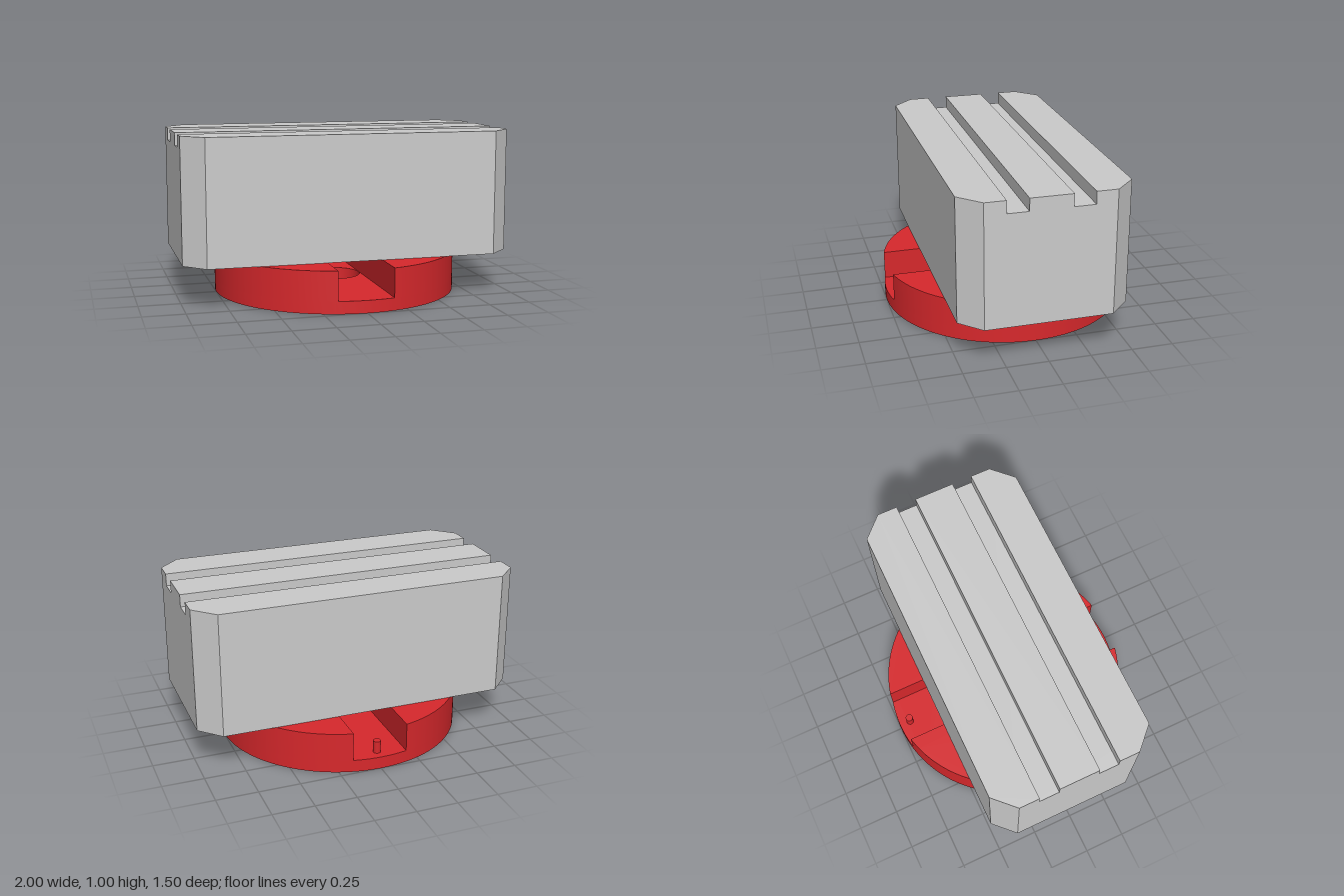
import * as THREE from 'three';
import { toCreasedNormals } from 'three/addons/utils/BufferGeometryUtils.js';

export function createModel() {
  const model = new THREE.Group();
  const grey = new THREE.MeshStandardMaterial({ color: 0xcccccc });
  const greyInside = new THREE.MeshStandardMaterial({ color: 0xcccccc, side: THREE.DoubleSide });
  const red = new THREE.MeshStandardMaterial({ color: 0xd8282c });

  const add = (name, geometry, material) => {
    const mesh = new THREE.Mesh(geometry, material);
    mesh.name = name;
    model.add(mesh);
    return mesh;
  };

  // Extrude a plan outline upwards from y0 to y1
  const slab = (shape, y0, y1) => {
    const g = new THREE.ExtrudeGeometry(shape, { depth: y1 - y0, bevelEnabled: false, curveSegments: 64 });
    g.rotateX(-Math.PI / 2).translate(0, y0, 0);
    return toCreasedNormals(g, 0.5);
  };
  const outline = (pts) => new THREE.Shape(pts.map(([x, z]) => new THREE.Vector2(x, z)));
  const hole = (x, z, r) => new THREE.Path().absarc(x, z, r, 0, Math.PI * 2, true);

  // Block with chamfered corners
  const top = 1, grooveFloor = 0.925, deck = 0.25;
  const xc = 0.875, zc = 0.375, zo = 0.5, zi = 0.25;
  add('block', slab(outline([
    [-xc, -zo], [xc, -zo], [1, -zc], [1, zc], [xc, zo], [-xc, zo], [-1, zc], [-1, -zc],
  ]), deck, grooveFloor), grey);

  // Three ridges leave two long grooves on top
  add('middleRidge', slab(outline([[-1, -0.125], [1, -0.125], [1, 0.125], [-1, 0.125]]), grooveFloor, top), grey);
  const sideRidge = [[-1, zi], [1, zi], [1, zc], [xc, zo], [-xc, zo], [-1, zc]];
  add('backRidge', slab(outline(sideRidge), grooveFloor, top), grey);
  add('frontRidge', slab(outline(sideRidge.map(([x, z]) => [-x, -z])), grooveFloor, top), grey);

  // Round base plate with a centre bore and four bolt holes
  const R = 0.75, floor = 0.075, slot = 0.167, bolt = 0.29, boltR = 0.06;
  const disc = new THREE.Shape().absarc(0, 0, R, 0, Math.PI * 2, false);
  disc.holes.push(hole(0, 0, 0.165));
  for (const x of [-bolt, bolt]) for (const z of [-bolt, bolt]) disc.holes.push(hole(x, z, boltR));
  add('basePlate', slab(disc, 0, floor), red);

  // Raised halves of the base on both sides of the slot
  const a = Math.acos(slot / R);
  for (const side of [1, -1]) {
    const mid = side > 0 ? 0 : Math.PI;
    const half = new THREE.Shape().absarc(0, 0, R, mid - a, mid + a, false);
    half.closePath();
    for (const z of [-bolt, bolt]) half.holes.push(hole(side * bolt, z, boltR));
    add(side > 0 ? 'leftBaseHalf' : 'rightBaseHalf', slab(half, floor, deck), red);

    // Grey linings of the bolt holes
    for (const z of [-bolt, bolt]) {
      const lining = new THREE.CylinderGeometry(boltR - 0.001, boltR - 0.001, deck, 32, 1, true);
      add('boltHoleLining', lining, greyInside).position.set(side * bolt, deck / 2, z);
    }
  }

  // Locating pin at the back of the slot
  add('locatingPin', new THREE.CylinderGeometry(0.023, 0.023, 0.075, 24), red).position.set(0, 0.1125, -0.68);

  return model;
}
